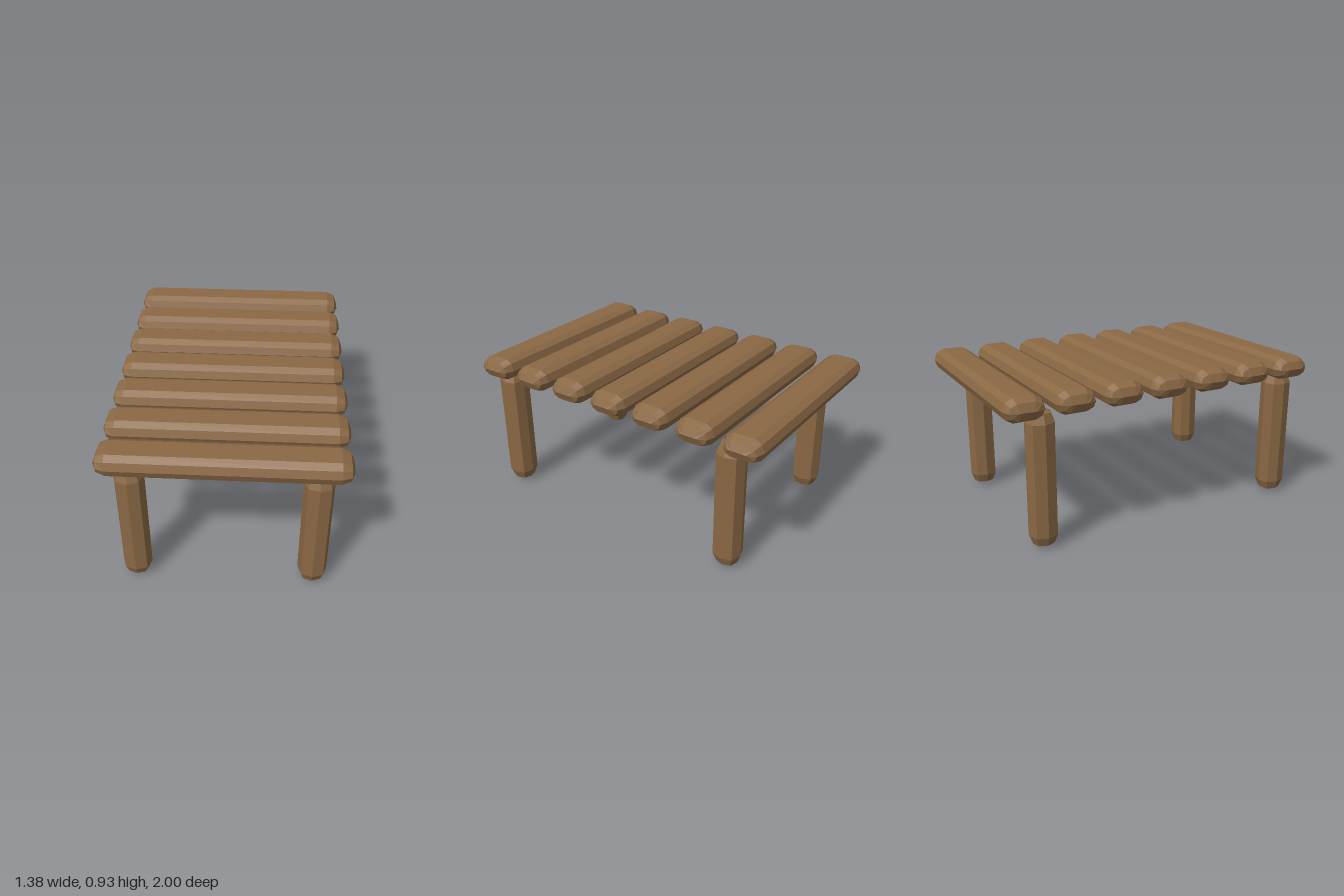
import * as THREE from 'three';

// Lofts a faceted log along y. section: [x, z] corners ordered from +x towards +z.
// rings: [y, xScale, zScale] from bottom to top; end rings collapse to close the log.
function logGeometry(section, rings) {
  const n = section.length;
  const points = [];
  const index = [];
  for (const [y, sx, sz] of rings) {
    for (const [x, z] of section) points.push(x * sx, y, z * sz);
  }
  for (let i = 0; i < rings.length - 1; i++) {
    for (let j = 0; j < n; j++) {
      const a = i * n + j;
      const b = i * n + (j + 1) % n;
      index.push(a, a + n, b, b, a + n, b + n);
    }
  }
  const geometry = new THREE.BufferGeometry();
  geometry.setAttribute('position', new THREE.Float32BufferAttribute(points, 3));
  geometry.setIndex(index);
  const flat = geometry.toNonIndexed();
  flat.computeVertexNormals();
  return flat;
}

export function createModel() {
  const group = new THREE.Group();
  group.name = 'logPlatform';
  const wood = new THREE.MeshStandardMaterial({ color: 0x8a6844, flatShading: true });
  wood.name = 'brownWood';

  // Deck log: flattened ten-sided section, wedge-shaped ends
  const h = 0.068, w = 0.1175;
  const quarter = [[0, 1], [0.67, 0.86], [1, 0.52]];
  const deckSection = [
    [1, -0.52], [1, 0.52], [0.67, 0.86], [0, 1], [-0.67, 0.86],
    [-1, 0.52], [-1, -0.52], [-0.67, -0.86], [0, -1], [0.67, -0.86],
  ].map(([x, z]) => [x * h, z * w]);
  const deckGeometry = logGeometry(deckSection, [
    [-0.69, 0, 0.45], [-0.67, 0.7, 0.85], [-0.62, 1, 1],
    [0.62, 1, 1], [0.67, 0.7, 0.85], [0.69, 0, 0.45],
  ]);
  deckGeometry.rotateZ(-Math.PI / 2);
  for (let i = 0; i < 7; i++) {
    const log = new THREE.Mesh(deckGeometry, wood);
    log.name = `deckLog${i + 1}`;
    log.position.set(0, 0.866, -0.8825 + i * 0.2942);
    group.add(log);
  }

  // Leg: eight-sided post with blunt pointed ends
  const r = 0.085, c = 0.75;
  const legSection = [[1, 0], [c, c], [0, 1], [-c, c], [-1, 0], [-c, -c], [0, -1], [c, -c]]
    .map(([x, z]) => [x * r, z * r]);
  const legGeometry = logGeometry(legSection, [
    [0, 0, 0], [0.025, 0.75, 0.75], [0.08, 1, 1],
    [0.75, 1, 1], [0.805, 0.75, 0.75], [0.83, 0, 0],
  ]);
  for (const [end, z] of [['front', 0.885], ['back', -0.755]]) {
    for (const [side, x] of [['Left', 0.515], ['Right', -0.515]]) {
      const leg = new THREE.Mesh(legGeometry, wood);
      leg.name = `${end}${side}Leg`;
      leg.position.set(x, 0, z);
      group.add(leg);
    }
  }
  return group;
}
